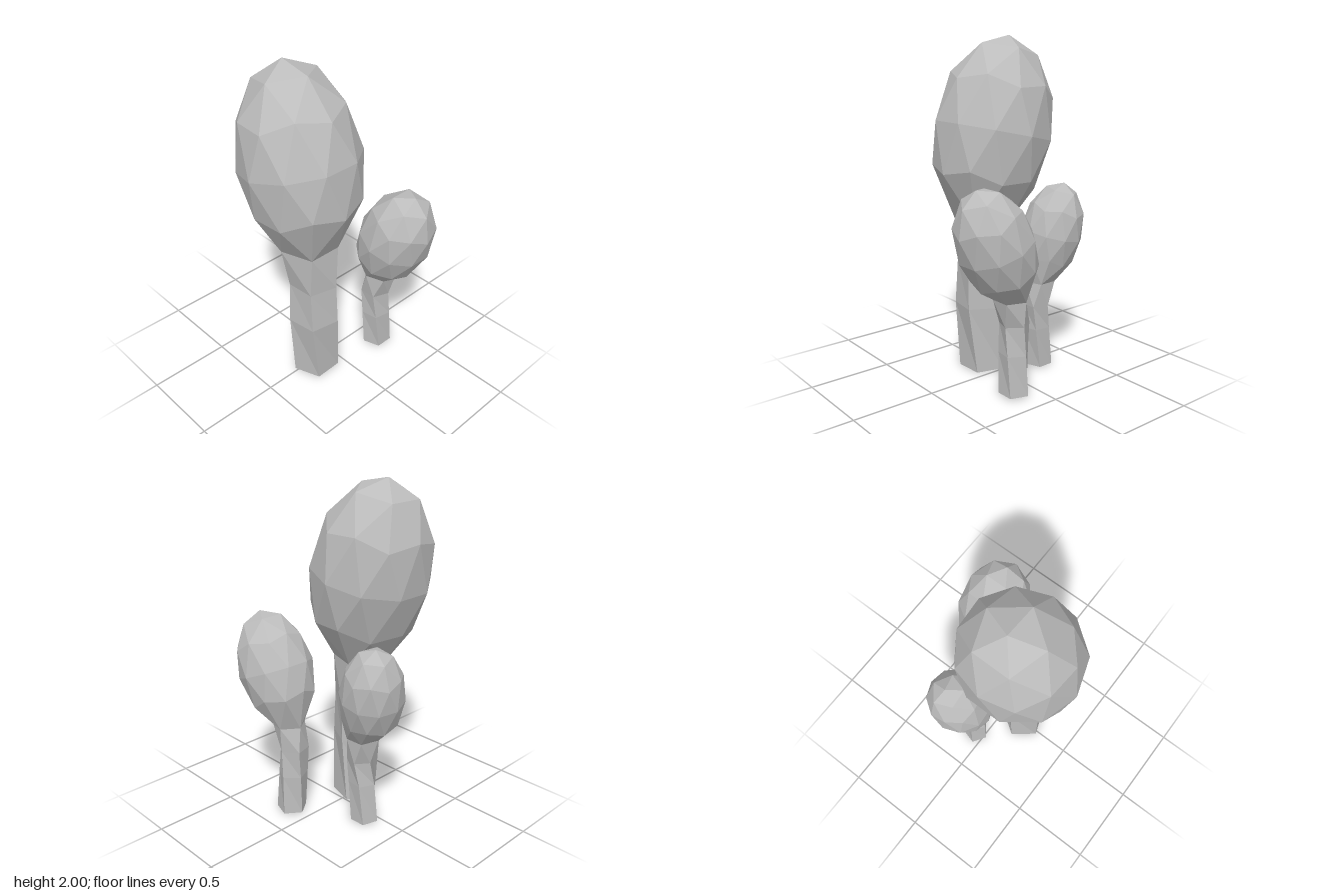
import * as THREE from 'three';

const SIDES = 5;
const POLE = Math.atan(2 / (1 + Math.sqrt(5))); // turns an icosahedron corner upwards

const grey = new THREE.MeshStandardMaterial({ color: 0xbcbcbc });
grey.name = 'grey';

// Each tree: egg-shaped crown (centre, radius, half height, lean) and
// trunk rings from the crown down: [x, y, z, radius, twist in degrees]
const TREES = [
  {
    name: 'largeTree', centre: [-0.07, 1.445, 0.155], radius: 0.355, half: 0.565, lean: [-0.22, 0], yaw: 0,
    rings: [[-0.005, 0.92, 0.16, 0.172, 0], [0.025, 0.66, 0.15, 0.145, 14], [0.03, 0.4, 0.155, 0.152, 10], [0.02, 0, 0.14, 0.143, -2]],
  },
  {
    name: 'leftTree', centre: [0.26, 0.89, -0.29], radius: 0.222, half: 0.352, lean: [0.38, 0], yaw: 0,
    rings: [[0.155, 0.57, -0.29, 0.1, 0], [0.125, 0.42, -0.285, 0.09, 20], [0.13, 0.25, -0.29, 0.09, 10], [0.135, 0.01, -0.3, 0.092, 0]],
  },
  {
    name: 'rightTree', centre: [-0.325, 0.835, -0.09], radius: 0.188, half: 0.312, lean: [-0.2, -0.13], yaw: 0.35,
    rings: [[-0.245, 0.545, -0.075, 0.095, 0], [-0.225, 0.4, -0.075, 0.08, 20], [-0.235, 0.25, -0.065, 0.082, 8], [-0.255, 0.005, -0.065, 0.083, 0]],
  },
];

const ringPoint = ([x, y, z, r], angle) =>
  new THREE.Vector3(x + r * Math.cos(angle), y, z + r * Math.sin(angle));

// Faceted egg whose lowest five facets are flattened onto the trunk top
function crownGeometry({ centre, radius, half, lean, yaw, rings }) {
  const geo = new THREE.IcosahedronGeometry(1, 1).rotateZ(-POLE).rotateY(yaw);
  const tilt = new THREE.Quaternion().setFromUnitVectors(
    new THREE.Vector3(0, 1, 0),
    new THREE.Vector3(lean[0], Math.sqrt(1 - lean[0] ** 2 - lean[1] ** 2), lean[1]));
  const pos = geo.attributes.position;
  const v = new THREE.Vector3();
  for (let i = 0; i < pos.count; i++) {
    v.fromBufferAttribute(pos, i);
    if (v.y < -0.95) v.fromArray(rings[0]);
    else if (v.y < -0.8) v.copy(ringPoint(rings[0], Math.atan2(v.z, v.x)));
    else v.multiply(new THREE.Vector3(radius, half, radius)).applyQuaternion(tilt).add(new THREE.Vector3(...centre));
    pos.setXYZ(i, v.x, v.y, v.z);
  }
  geo.computeVertexNormals();
  return geo;
}

// Five-sided twisted trunk with a closed foot
function trunkGeometry({ rings, yaw }) {
  const points = [];
  const index = [];
  for (const ring of rings) {
    for (let j = 0; j < SIDES; j++) {
      const angle = Math.PI - yaw + (j * 2 * Math.PI) / SIDES + THREE.MathUtils.degToRad(ring[4]);
      points.push(ringPoint(ring, angle));
    }
  }
  const foot = rings[rings.length - 1];
  points.push(new THREE.Vector3(foot[0], foot[1], foot[2]));
  const last = (rings.length - 1) * SIDES;
  for (let j = 0; j < SIDES; j++) {
    const k = (j + 1) % SIDES;
    for (let a = 0; a < last; a += SIDES) {
      const b = a + SIDES;
      index.push(a + j, a + k, b + j, a + k, b + k, b + j);
    }
    index.push(points.length - 1, last + j, last + k);
  }
  const geo = new THREE.BufferGeometry().setFromPoints(points);
  geo.setIndex(index);
  const flat = geo.toNonIndexed();
  flat.computeVertexNormals();
  return flat;
}

export function createModel() {
  const model = new THREE.Group();
  model.name = 'treeCluster';
  for (const spec of TREES) {
    const tree = new THREE.Group();
    tree.name = spec.name;
    const crown = new THREE.Mesh(crownGeometry(spec), grey);
    crown.name = 'crown';
    const trunk = new THREE.Mesh(trunkGeometry(spec), grey);
    trunk.name = 'trunk';
    tree.add(crown, trunk);
    model.add(tree);
  }
  return model;
}
